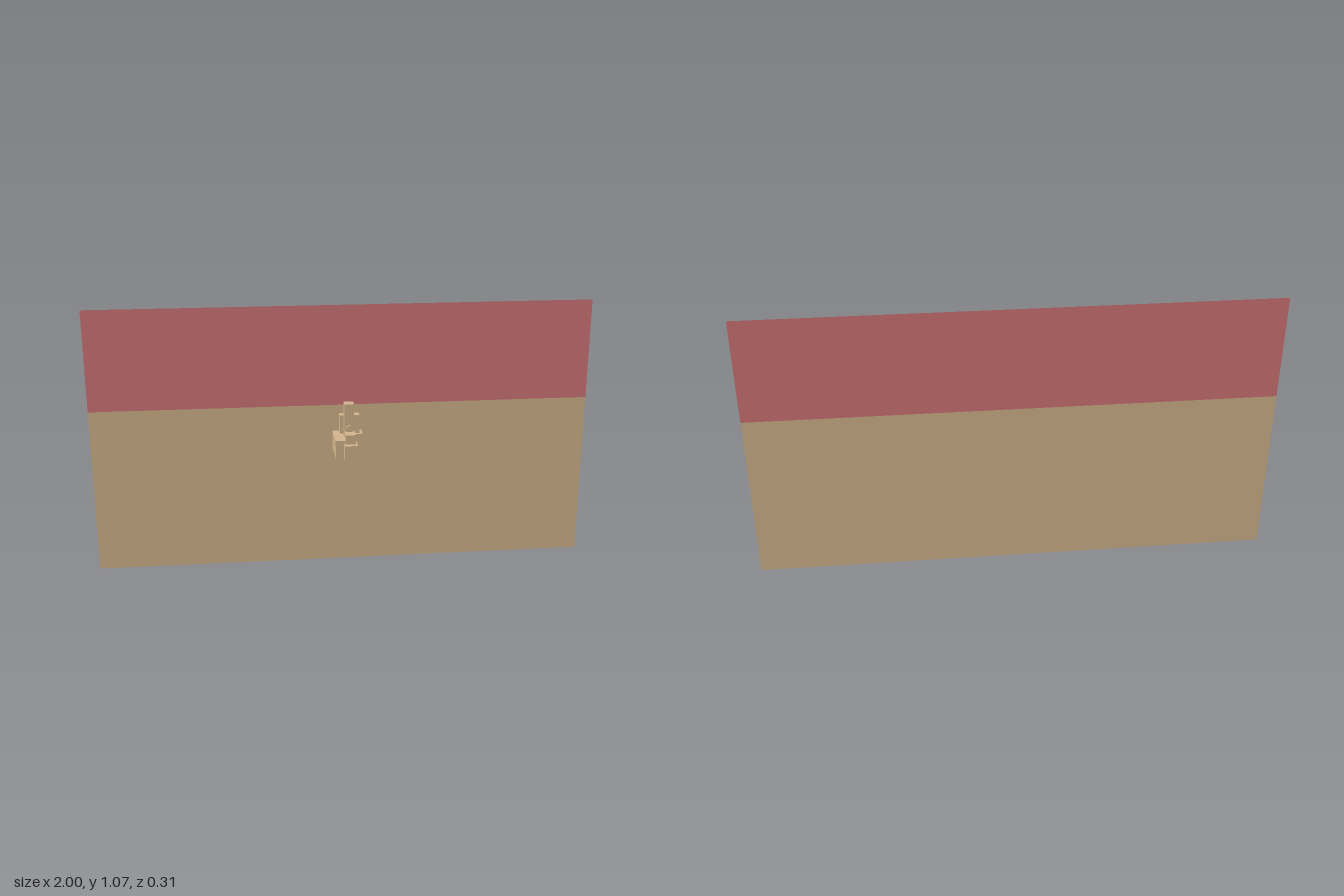
import * as THREE from 'three';

export function createModel() {
  const group = new THREE.Group();
  const tan = new THREE.MeshStandardMaterial({ color: 0xd2b48c, side: THREE.DoubleSide });
  tan.name = 'sand tan';
  const red = new THREE.MeshStandardMaterial({ color: 0xd07476, side: THREE.DoubleSide });
  red.name = 'dusty red';

  const add = (name, geometry, material, x, y, z) => {
    const mesh = new THREE.Mesh(geometry, material);
    mesh.name = name;
    mesh.position.set(x, y, z);
    group.add(mesh);
    return mesh;
  };
  // Box given by its limits on each axis
  const box = (name, [x0, x1], [y0, y1], [z0, z1]) =>
    add(name, new THREE.BoxGeometry(x1 - x0, y1 - y0, z1 - z0), tan,
      (x0 + x1) / 2, (y0 + y1) / 2, (z0 + z1) / 2);

  // Thin backdrop in two bands
  const split = 0.668, top = 1.071, backZ = -0.157;
  add('lowerBackdrop', new THREE.PlaneGeometry(2, split), tan, 0, split / 2, backZ);
  add('upperBackdrop', new THREE.PlaneGeometry(2, top - split), red, 0, (split + top) / 2, backZ);

  // Cluster of blocks in front of the backdrop
  box('centralHall', [-0.025, 0.025], [0.539, 0.597], [-0.031, 0.157]);
  box('upperHall', [-0.019, 0.019], [0.545, 0.633], [-0.009, 0.136]);
  box('mainTower', [-0.018, 0.018], [0.545, 0.739], [0.044, 0.084]);
  box('crossTower', [-0.032, 0.043], [0.545, 0.684], [0.01, 0.044]);
  box('rightWing', [-0.057, -0.02], [0.54, 0.611], [0.001, 0.132]);
  box('leftWing', [0.02, 0.056], [0.54, 0.611], [0.001, 0.052]);

  // Round ridge along the roof, and tapered foot underneath
  const ridge = add('roofRidge', new THREE.CylinderGeometry(0.014, 0.014, 0.099, 16), tan, 0, 0.643, 0.0455);
  ridge.rotation.x = Math.PI / 2;
  add('foot', new THREE.CylinderGeometry(0.018, 0.007, 0.012, 16), tan, 0, 0.535, 0.056);

  return group;
}
